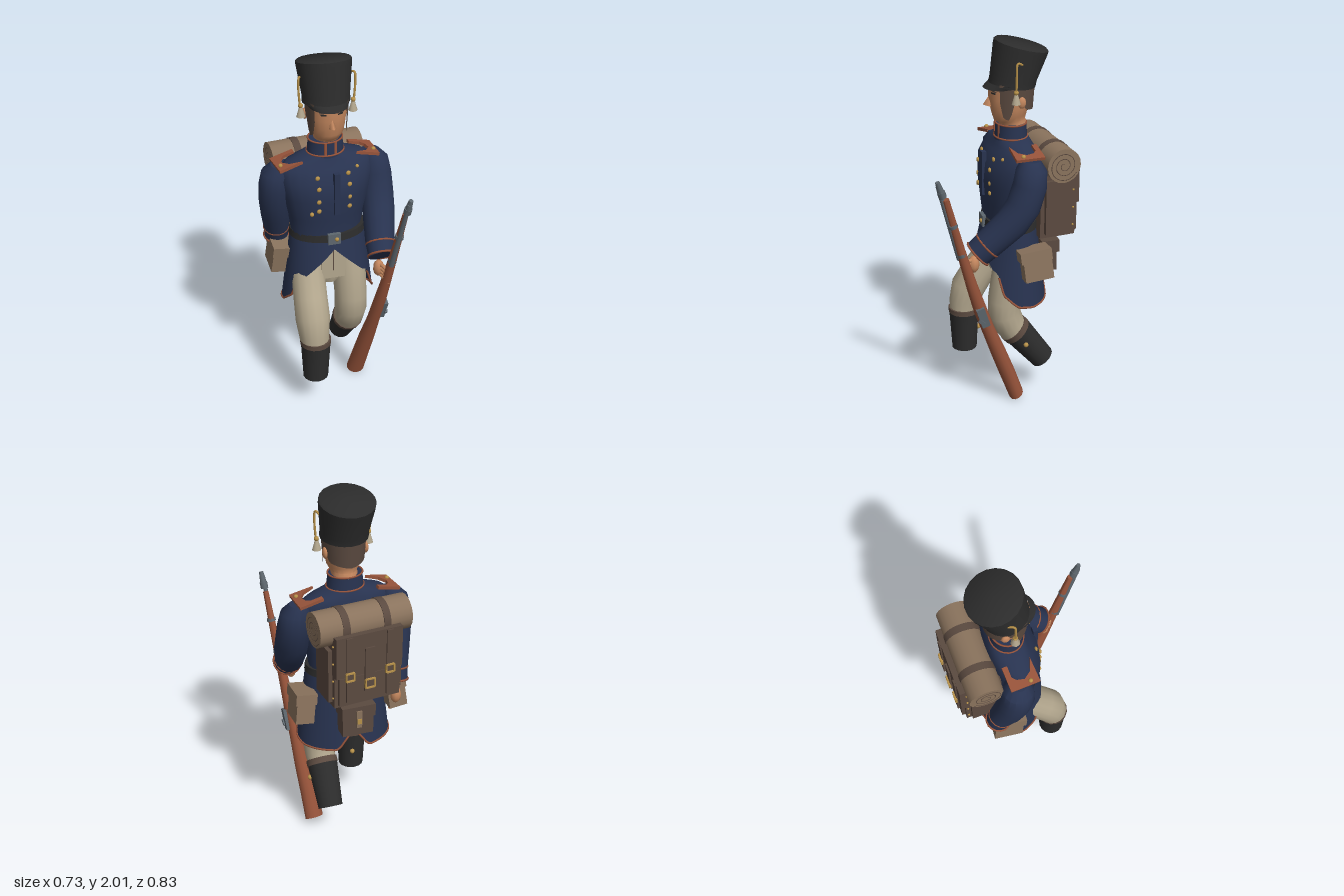
import * as THREE from 'three';
import { toCreasedNormals } from 'three/addons/utils/BufferGeometryUtils.js';

const mat = (name, color) => Object.assign(new THREE.MeshStandardMaterial({ color, side: THREE.DoubleSide }), { name });
const M = {
  blue: mat('navy cloth', 0x283350), rust: mat('rust trim and wood', 0x96533a), skin: mat('skin', 0xc5885f),
  beige: mat('breeches beige', 0xb3a78e), tan: mat('tan canvas', 0x8a735d), brown: mat('dark brown leather', 0x5b4a40),
  black: mat('black felt', 0x2c2c2c), gold: mat('brass', 0xb8924a), steel: mat('steel', 0x5e676e),
};
const TAU = Math.PI * 2;

function add(parent, name, geo, m, pos = [0, 0, 0], rot = [0, 0, 0]) {
  const mesh = new THREE.Mesh(geo, m);
  mesh.name = name;
  mesh.position.set(...pos);
  mesh.rotation.set(...rot);
  parent.add(mesh);
  return mesh;
}
function group(parent, name) {
  const g = new THREE.Group();
  g.name = name;
  parent.add(g);
  return g;
}
const box = (p, name, m, size, pos, rot) => add(p, name, new THREE.BoxGeometry(...size), m, pos, rot);
const ball = (p, name, m, r, pos, scale = [1, 1, 1]) => add(p, name, new THREE.SphereGeometry(r, 10, 7), m, pos).scale.set(...scale);
const tube = (p, name, m, pts, r, closed = false, n = 24) =>
  add(p, name, new THREE.TubeGeometry(new THREE.CatmullRomCurve3(pts.map(a => new THREE.Vector3(...a)), closed), n, r, 6, closed), m);

// surface from f(u, v) -> [x, y, z]
function grid(nu, nv, f, crease = 0.7) {
  const pos = [], idx = [];
  for (let j = 0; j <= nv; j++) for (let i = 0; i <= nu; i++) pos.push(...f(i / nu, j / nv, j));
  for (let j = 0; j < nv; j++) for (let i = 0; i < nu; i++) {
    const a = j * (nu + 1) + i, d = a + nu + 1;
    idx.push(a, a + 1, d + 1, a, d + 1, d);
  }
  const g = new THREE.BufferGeometry();
  g.setAttribute('position', new THREE.Float32BufferAttribute(pos, 3));
  g.setIndex(idx);
  return toCreasedNormals(g, crease);
}
// closed body from elliptical sections [x, y, z, rx, rz, tilt], listed from the bottom up
function loft(secs, n = 18, crease) {
  const first = secs[0].slice(), last = secs[secs.length - 1].slice();
  first[3] = first[4] = last[3] = last[4] = 0;
  const all = [first, ...secs, last];
  return grid(n, all.length - 1, (u, v, j) => {
    const [x, y, z, rx, rz = rx, t = 0] = all[j], a = u * TAU, dz = rz * Math.cos(a);
    return [x + rx * Math.sin(a), y - Math.sin(t) * dz, z + Math.cos(t) * dz];
  }, crease);
}
// limb from points [x, y, z, r]; rings follow the path
function limb(pts, n = 16) {
  return loft(pts.map(([x, y, z, r], i) => {
    const a = pts[Math.max(i - 1, 0)], b = pts[Math.min(i + 1, pts.length - 1)];
    return [x, y, z, r, r, Math.atan2(b[2] - a[2], b[1] - a[1])];
  }), n);
}
function lerpKeys(keys, t) {
  for (let i = 1; i < keys.length; i++) if (t <= keys[i][0]) {
    const [a, p] = keys[i - 1], [b, q] = keys[i];
    return p + (q - p) * (t - a) / (b - a);
  }
  return keys[keys.length - 1][1];
}

function buildHead(root) {
  const g = group(root, 'head');
  add(g, 'face', loft([[0, 1.5, -0.08, 0.065, 0.066], [0, 1.56, -0.075, 0.068, 0.075], [0, 1.572, -0.06, 0.07, 0.082],
    [0, 1.6, -0.058, 0.085, 0.09], [0, 1.64, -0.058, 0.093, 0.1], [0, 1.69, -0.06, 0.099, 0.112], [0, 1.77, -0.06, 0.101, 0.11]], 18, 0.9), M.skin);
  add(g, 'nose', new THREE.ConeGeometry(0.03, 0.08, 4), M.skin, [0, 1.69, 0.043], [-0.25, 0, 0]).scale.x = 0.65;
  const hem = [[50, 1.68], [58, 1.6], [76, 1.59], [84, 1.68], [105, 1.69], [118, 1.64], [180, 1.62]];
  add(g, 'hair', grid(36, 4, (u, v) => {
    const deg = 50 + u * 260, a = deg * Math.PI / 180, lo = lerpKeys(hem, deg > 180 ? 360 - deg : deg);
    const y = lo + (1.78 - lo) * v, k = 0.94 + 0.11 * (y - 1.6) / 0.18;
    return [0.109 * k * Math.sin(a), y, -0.065 + 0.123 * k * Math.cos(a)];
  }), M.brown);
  for (const s of [1, -1]) {
    ball(g, 'ear', M.skin, 0.028, [s * 0.108, 1.685, -0.095], [0.5, 1.1, 0.8]);
    box(g, 'brow', M.brown, [0.045, 0.007, 0.008], [s * 0.042, 1.74, 0.038], [0, s * 0.4, -s * 0.15]);
    box(g, 'eye', M.black, [0.03, 0.008, 0.006], [s * 0.044, 1.727, 0.038], [0, s * 0.4, 0]);
    // cords and tassels hanging from the hat
    tube(g, 'hatCord', M.gold, [[s * 0.13, 1.89, -0.09], [s * 0.145, 1.9, -0.06], [s * 0.148, 1.84, -0.055], [s * 0.142, 1.75, -0.055]], 0.006);
    add(g, 'tassel', new THREE.CylinderGeometry(0.008, 0.024, 0.055, 8), M.beige, [s * 0.138, 1.717, -0.055]);
    ball(g, 'tasselKnot', M.gold, 0.013, [s * 0.139, 1.75, -0.055]);
  }
  // tall hat, wider at the top
  add(g, 'hat', loft([[0, 1.757, -0.073, 0.125, 0.122, -0.1], [0, 1.79, -0.08, 0.124, 0.122, -0.13],
    [0, 1.94, -0.117, 0.143, 0.143, -0.24], [0, 1.96, -0.122, 0.144, 0.144, -0.25], [0, 1.968, -0.124, 0.134, 0.134, -0.25]], 20), M.black);
  add(g, 'visor', grid(16, 3, (u, v) => {
    const a = (u - 0.5) * 2.7, c = Math.cos(a);
    return [(0.122 - 0.012 * v) * Math.sin(a), 1.775 - 0.026 * v, -0.07 + 0.118 * c + 0.032 * v * c];
  }), M.black);
}

function buildTorso(root) {
  const g = group(root, 'upperBody');
  g.rotation.y = 0.1;
  add(g, 'coatBody', loft([[0, 0.95, -0.06, 0.2, 0.135], [0, 1.03, -0.06, 0.197, 0.132], [0, 1.13, -0.055, 0.212, 0.137],
    [0, 1.25, -0.05, 0.238, 0.142], [0, 1.35, -0.055, 0.255, 0.138], [0, 1.415, -0.07, 0.25, 0.112], [0, 1.445, -0.075, 0.21, 0.098],
    [0, 1.465, -0.075, 0.14, 0.09], [0, 1.485, -0.075, 0.09, 0.08]], 24, 1), M.blue);
  box(g, 'placket', M.blue, [0.032, 0.24, 0.025], [0.005, 1.29, 0.086]);
  [1.385, 1.33, 1.255, 1.2].forEach(y => {
    for (const s of [1, -1]) ball(g, 'button', M.gold, 0.013, [s * 0.085 - 0.005, y, y > 1.36 ? 0.058 : 0.08], [1, 1, 0.6]);
  });
  ball(g, 'button', M.gold, 0.012, [-0.125, 1.18, 0.064]);
  ball(g, 'button', M.gold, 0.01, [0.14, 1.4, 0.03]);
  // collar with trim
  const trim = (y, rx, rz) => tube(g, 'collarTrim', M.rust, Array.from({ length: 14 }, (_, i) =>
    [rx * Math.sin(i / 14 * TAU), y, -0.07 + rz * Math.cos(i / 14 * TAU)]), 0.005, true, 28);
  add(g, 'collar', loft([[0, 1.465, -0.07, 0.1, 0.086], [0, 1.552, -0.07, 0.092, 0.08]]), M.blue);
  trim(1.552, 0.092, 0.08);
  trim(1.48, 0.1, 0.086);
  for (const s of [1, -1]) {
    box(g, 'collarStripe', M.rust, [0.013, 0.075, 0.008], [s * 0.028, 1.515, 0.009]);
    // shoulder board: a bracket-shaped plate
    const pts = [[0.15, -0.15], [0.28, -0.145], [0.275, 0.01], [0.145, 0.0], [0.21, -0.022], [0.238, -0.06], [0.23, -0.1], [0.21, -0.12], [0.15, -0.122]];
    const shape = new THREE.Shape(pts.map(([x, z]) => new THREE.Vector2(x - 0.22, -z)));
    const board = group(g, 'shoulderBoard');
    board.scale.x = s;
    const plate = group(board, 'boardPlate');
    plate.position.set(0.22, 1.437, 0);
    plate.rotation.z = -0.22;
    add(plate, 'boardEdge', new THREE.ExtrudeGeometry(shape, { depth: 0.016, bevelEnabled: false }), M.rust, [0, 0, 0], [-Math.PI / 2, 0, 0]);
    ball(plate, 'boardButton', M.gold, 0.012, [0.035, 0.018, -0.035]);
  }
  buildPack(g);
}

function buildPack(parent) {
  const g = group(parent, 'backpack');
  g.position.x = 0.008;
  box(g, 'packBody', M.brown, [0.37, 0.41, 0.2], [0, 1.15, -0.262]);
  box(g, 'packFlap', M.brown, [0.37, 0.23, 0.024], [0, 1.24, -0.372]);
  box(g, 'packPocket', M.brown, [0.33, 0.16, 0.022], [0, 1.04, -0.37]);
  box(g, 'packCentreStrap', M.brown, [0.055, 0.25, 0.014], [0, 1.15, -0.386]);
  const buckle = (x, y, z, w) => {
    for (const s of [1, -1]) {
      box(g, 'buckleBar', M.gold, [w, 0.008, 0.012], [x, y + s * w * 0.5, z]);
      box(g, 'buckleSide', M.gold, [0.008, w, 0.012], [x + s * w * 0.5, y, z]);
    }
  };
  for (const s of [1, -1]) {
    box(g, 'packStrap', M.brown, [0.036, 0.37, 0.02], [s * 0.112, 1.165, -0.382]);
    box(g, 'packSidePocket', M.brown, [0.03, 0.3, 0.15], [s * 0.192, 1.12, -0.26]);
    buckle(s * 0.112, 1.13, -0.395, 0.044);
    for (const y of [1, 1.1, 1.2, 1.3]) ball(g, 'packStud', M.gold, 0.006, [s * 0.187, y, -0.35]);
  }
  buckle(0, 1.07, -0.395, 0.05);
  // rolled blanket
  add(g, 'bedroll', new THREE.CylinderGeometry(0.093, 0.093, 0.51, 20), M.tan, [0, 1.367, -0.262], [0, 0, Math.PI / 2]);
  for (const s of [1, -1]) {
    add(g, 'bedrollStrap', new THREE.CylinderGeometry(0.097, 0.097, 0.038, 20), M.brown, [s * 0.112, 1.367, -0.262], [0, 0, Math.PI / 2]);
    tube(g, 'bedrollSpiral', M.brown, Array.from({ length: 28 }, (_, i) =>
      [s * 0.255, 1.367 + (0.012 + i * 0.0026) * Math.cos(i * 0.62), -0.262 + (0.012 + i * 0.0026) * Math.sin(i * 0.62)]), 0.002, false, 90);
  }
}

function buildCoatSkirt(root) {
  const g = group(root, 'coatSkirt');
  const hem = [[0, 0.955], [44, 0.79], [54, 0.775], [66, 0.66], [85, 0.595], [110, 0.58], [160, 0.58], [180, 0.7]];
  const at = (u, v) => {
    const deg = u * 360, a = u * TAU, lo = lerpKeys(hem, deg > 180 ? 360 - deg : deg);
    const y = 1.03 + (lo - 1.03) * v, k = (1.03 - y) / 0.45;
    return [(0.203 + 0.055 * k) * Math.sin(a), y, -0.06 + (0.138 + (Math.cos(a) < 0 ? 0.055 : 0.1) * k) * Math.cos(a)];
  };
  add(g, 'skirtCloth', grid(72, 8, at, 1), M.blue);
  tube(g, 'hemTrim', M.rust, Array.from({ length: 50 }, (_, i) => at((56 + i * 248 / 49) / 360, 1)), 0.006, false, 120);
  add(g, 'belt', loft([[0, 0.997, -0.06, 0.211, 0.148], [0, 1.037, -0.06, 0.207, 0.143]], 28), M.black);
  box(g, 'beltBuckle', M.steel, [0.07, 0.062, 0.02], [0, 1.018, 0.086]);
  ball(g, 'buckleStud', M.gold, 0.012, [0.012, 1.018, 0.096]);
  // hip pouches and the rear pouch
  for (const s of [1, -1]) {
    const p = group(g, 'hipPouch');
    p.position.set(s * 0.255, 0.845, -0.128);
    p.rotation.set(0.1, 0, s * 0.12);
    box(p, 'pouchBody', M.tan, [0.1, 0.155, 0.155], [0, -0.005, -0.005]);
    box(p, 'pouchFlap', M.tan, [0.115, 0.06, 0.17], [0, 0.055, 0]);
  }
  box(g, 'rearPouch', M.brown, [0.17, 0.17, 0.085], [0, 0.79, -0.265]);
  box(g, 'rearPouchFlap', M.brown, [0.185, 0.07, 0.1], [0, 0.85, -0.27]);
  box(g, 'rearPouchStrap', M.tan, [0.03, 0.1, 0.012], [0, 0.81, -0.322]);
  box(g, 'rearPouchClasp', M.gold, [0.022, 0.03, 0.014], [0, 0.8, -0.326]);
}

function buildLegs(root) {
  const g = group(root, 'legs');
  add(g, 'hips', loft([[0, 0.7, -0.05, 0.06, 0.08], [0, 0.76, -0.055, 0.14, 0.1], [0, 0.98, -0.06, 0.175, 0.112]]), M.beige);
  box(g, 'breechesFlap', M.beige, [0.13, 0.19, 0.02], [0.005, 0.845, 0.05]);
  box(g, 'flySeam', M.brown, [0.005, 0.14, 0.006], [0.003, 0.87, 0.061]);
  add(g, 'rightBreeches', limb([[-0.13, 0.4, 0.165, 0.078], [-0.135, 0.47, 0.16, 0.084], [-0.135, 0.56, 0.135, 0.096],
    [-0.132, 0.65, 0.08, 0.094], [-0.123, 0.78, -0.012, 0.092], [-0.105, 0.92, -0.06, 0.085]]), M.beige);
  add(g, 'leftBreeches', limb([[0.122, 0.37, -0.065, 0.076], [0.122, 0.43, -0.03, 0.084], [0.12, 0.5, 0.0, 0.09],
    [0.12, 0.58, 0.0, 0.09], [0.116, 0.75, -0.03, 0.094], [0.105, 0.92, -0.06, 0.085]]), M.beige);
  add(g, 'rightBoot', limb([[-0.128, 0.188, 0.163, 0.07], [-0.128, 0.42, 0.165, 0.083]]), M.black);
  add(g, 'rightBootCuff', limb([[-0.128, 0.415, 0.165, 0.086], [-0.128, 0.442, 0.165, 0.086]]), M.brown);
  add(g, 'leftBoot', limb([[0.126, 0.193, -0.219, 0.068], [0.122, 0.39, -0.065, 0.084]]), M.black);
  add(g, 'leftBootCuff', limb([[0.122, 0.38, -0.071, 0.087], [0.122, 0.405, -0.048, 0.087]]), M.brown);
  ball(g, 'bootButton', M.gold, 0.014, [-0.11, 0.31, 0.086]);
  ball(g, 'bootButton', M.gold, 0.014, [0.205, 0.33, -0.1]);
}

// arm from wrist to shoulder, with cuff trims and a hand
function buildArm(root, name, pts, hand, reach) {
  const g = group(root, name);
  add(g, 'sleeve', limb(pts), M.blue);
  const [w, e] = [pts[0], pts[1]].map(p => new THREE.Vector3(p[0], p[1], p[2]));
  const dir = e.clone().sub(w).normalize();
  [0.004, 0.07].forEach(d => {
    const ring = add(g, 'cuffTrim', new THREE.TorusGeometry(pts[0][3] + 0.002, 0.006, 6, 16), M.rust, w.clone().addScaledVector(dir, d).toArray());
    ring.quaternion.setFromUnitVectors(new THREE.Vector3(0, 0, 1), dir);
  });
  ball(g, 'palm', M.skin, 0.04, hand, [0.75, 1.2, 0.75]);
  for (let i = 0; i < 4; i++)
    tube(g, 'finger', M.skin, [[hand[0], hand[1] + 0.03 - i * 0.02, hand[2]],
      [hand[0] + reach[0] * 0.6, hand[1] + 0.02 - i * 0.022, hand[2] + reach[2] * 0.9],
      [hand[0] + reach[0], hand[1] + reach[1] - i * 0.02, hand[2] + reach[2]]], 0.011, false, 8);
}

function buildRifle(root) {
  const g = group(root, 'musket');
  g.position.set(0.17, 0.012, -0.055);
  g.quaternion.setFromUnitVectors(new THREE.Vector3(0, 1, 0), new THREE.Vector3(0.14, 1.385, 0.45).normalize());
  add(g, 'stock', loft([[0, 0, 0, 0.052, 0.042, 0.2], [0, 0.16, 0.006, 0.047, 0.043], [0, 0.32, 0.014, 0.044, 0.041], [0, 0.5, 0.024, 0.035, 0.035],
    [0, 0.62, 0.028, 0.034, 0.036], [0, 0.8, 0.026, 0.028, 0.03], [0, 1.02, 0.018, 0.022, 0.024], [0, 1.34, 0.0, 0.015, 0.017]], 12, 0.9), M.rust);
  add(g, 'barrel', new THREE.CylinderGeometry(0.011, 0.015, 0.45, 8), M.steel, [-0.006, 1.2, 0.026], [-0.05, 0, 0]);
  add(g, 'muzzle', new THREE.CylinderGeometry(0.012, 0.018, 0.06, 8), M.steel, [0, 1.42, 0.01]);
  add(g, 'muzzleRing', new THREE.CylinderGeometry(0.021, 0.021, 0.035, 8), M.steel, [0, 1.375, 0.01]);
  for (const [y, z] of [[1.0, 0.02], [1.18, 0.012]])
    add(g, 'barrelBand', new THREE.CylinderGeometry(0.024, 0.025, 0.018, 8), M.steel, [0, y, z]);
  box(g, 'lockPlate', M.steel, [0.025, 0.12, 0.045], [0.033, 0.6, 0.03]);
  box(g, 'hammer', M.steel, [0.016, 0.035, 0.018], [0.046, 0.58, 0.045], [0.5, 0, 0]);
}

export function createModel() {
  const root = new THREE.Group();
  root.name = 'soldier';
  buildHead(root);
  buildTorso(root);
  buildCoatSkirt(root);
  buildLegs(root);
  buildArm(root, 'leftArm', [[0.238, 0.93, 0.182, 0.074], [0.245, 0.99, 0.115, 0.08], [0.27, 1.1, 0.005, 0.088], [0.276, 1.19, -0.055, 0.09],
    [0.274, 1.3, -0.09, 0.088], [0.266, 1.38, -0.1, 0.08], [0.25, 1.425, -0.1, 0.05]], [0.215, 0.865, 0.195], [0.04, -0.015, 0.05]);
  buildArm(root, 'rightArm', [[-0.255, 0.925, -0.185, 0.064], [-0.258, 0.99, -0.165, 0.068], [-0.268, 1.1, -0.125, 0.08], [-0.276, 1.2, -0.1, 0.086],
    [-0.276, 1.3, -0.08, 0.088], [-0.268, 1.38, -0.075, 0.08], [-0.25, 1.425, -0.07, 0.05]], [-0.245, 0.85, -0.215], [0.02, -0.04, 0.03]);
  buildRifle(root);
  return root;
}
